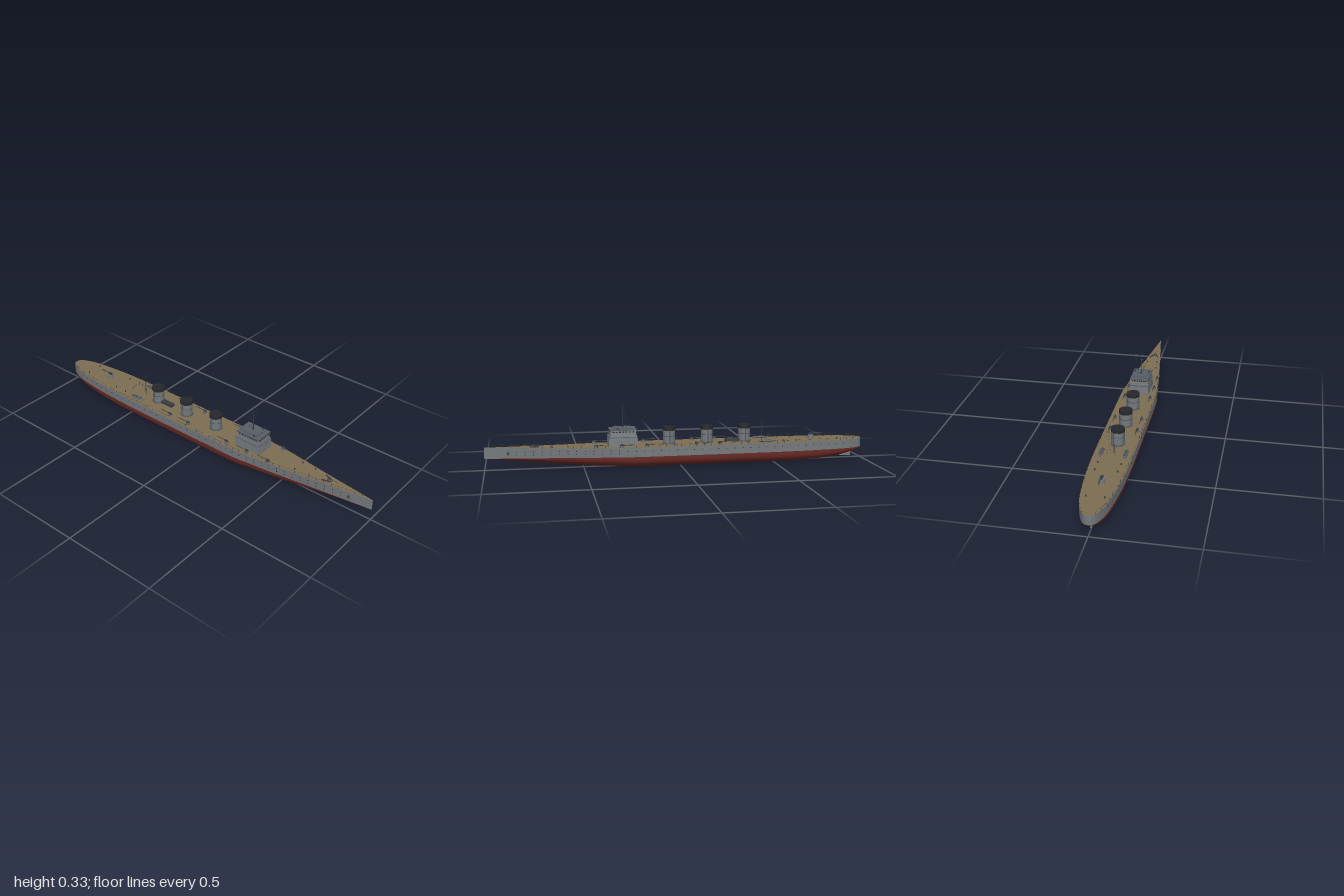
import * as THREE from 'three';
import { mergeGeometries } from 'three/addons/utils/BufferGeometryUtils.js';

const mat = (name, color, side = THREE.FrontSide) => {
  const m = new THREE.MeshStandardMaterial({ color, side });
  m.name = name;
  return m;
};

// linear interpolation through [x, value] pairs
const interp = (pts, x) => {
  for (let i = 1; i < pts.length; i++) {
    const [x0, v0] = pts[i - 1], [x1, v1] = pts[i];
    if (x <= x1) return v0 + (v1 - v0) * (x - x0) / (x1 - x0);
  }
  return pts[pts.length - 1][1];
};

// surface through rows of [x, y, z] points
function loft(rows) {
  const n = rows[0].length, index = [];
  for (let i = 0; i < rows.length - 1; i++)
    for (let j = 0; j < n - 1; j++) {
      const a = i * n + j, b = a + n;
      index.push(a, b, a + 1, b, b + 1, a + 1);
    }
  const g = new THREE.BufferGeometry();
  g.setAttribute('position', new THREE.Float32BufferAttribute(rows.flat(2), 3));
  g.setIndex(index);
  g.computeVertexNormals();
  return g;
}

// box standing on y = 0 whose top is scaled by sx, sz
function taperBox(w, h, d, sx = 1, sz = 1) {
  const g = new THREE.BoxGeometry(w, h, d).translate(0, h / 2, 0).toNonIndexed();
  const p = g.attributes.position;
  for (let i = 0; i < p.count; i++)
    if (p.getY(i) > h / 2) { p.setX(i, p.getX(i) * sx); p.setZ(i, p.getZ(i) * sz); }
  g.computeVertexNormals();
  return g;
}

// thin cylinder between two points
function rod(a, b, r, sides = 6) {
  const p = new THREE.Vector3(...a), q = new THREE.Vector3(...b), dir = q.clone().sub(p);
  const g = new THREE.CylinderGeometry(r, r, dir.length(), sides);
  g.applyQuaternion(new THREE.Quaternion().setFromUnitVectors(new THREE.Vector3(0, 1, 0), dir.normalize()));
  return g.translate(...p.add(q).multiplyScalar(0.5).toArray());
}

export function createModel() {
  const ship = new THREE.Group();
  ship.name = 'warship';
  const grey = mat('hull grey', 0x74797c, THREE.DoubleSide);
  const red = mat('bottom red', 0x6a2a25, THREE.DoubleSide);
  const tan = mat('deck tan', 0x7d6d53);
  const slate = mat('roof slate', 0x575e66);
  const black = mat('funnel black', 0x26282b);
  const dark = mat('fittings dark', 0x3a3e42);
  const add = (name, geo, m, x = 0, y = 0, z = 0, parent = ship) => {
    const mesh = new THREE.Mesh(geo, m);
    mesh.name = name;
    mesh.position.set(x, y, z);
    parent.add(mesh);
    return mesh;
  };

  // hull lines: half-beam, keel height and deck height along the length
  const beam = [[-1, 0], [-0.993, 0.02], [-0.965, 0.04], [-0.9, 0.062], [-0.8, 0.077], [-0.65, 0.09], [-0.45, 0.096],
    [-0.2, 0.097], [0.05, 0.097], [0.24, 0.096], [0.33, 0.087], [0.45, 0.076], [0.62, 0.053], [0.8, 0.028], [1, 0]];
  const keel = [[-1, 0.058], [-0.95, 0.038], [-0.85, 0.016], [-0.74, 0.005], [-0.6, 0], [0.25, 0], [0.5, 0.013],
    [0.8, 0.04], [1, 0.06]];
  const WL = 0.06;
  const deckY = x => 0.108 + 0.01 * Math.max(0, (x - 0.2) / 0.8) ** 2;
  const curve = new THREE.SplineCurve(beam.map(p => new THREE.Vector2(...p)));
  const stations = curve.getPoints(112).map(p => [p.x, Math.max(0, p.y)]);
  const half = x => interp(stations, x);

  const below = [], port = [], starboard = [], deck = [];
  for (const [x, b] of stations) {
    const bow = Math.max(0, (x - 0.2) / 0.8);
    const w = b * (1 - 0.12 * bow), k = Math.min(WL, interp(keel, x)), n = 3 - 1.7 * bow;
    below.push(Array.from({ length: 25 }, (_, j) => {
      const a = (j / 24) * Math.PI, c = Math.cos(a), s = Math.sin(a);
      return [x, WL - (WL - k) * s ** (2 / n), -Math.sign(c) * w * Math.abs(c) ** (2 / n)];
    }));
    port.push([[x, WL, w], [x, deckY(x), b]]);
    starboard.push([[x, deckY(x), -b], [x, WL, -w]]);
    deck.push([[x, deckY(x), b], [x, deckY(x), -b]]);
  }
  add('underwaterHull', loft(below), red);
  add('leftHullSide', loft(port), grey);
  add('rightHullSide', loft(starboard), grey);
  add('deck', loft(deck), tan);
  add('rudder', taperBox(0.06, 0.04, 0.006, 1.1), grey, -0.915, 0.01);

  // railings and portholes along both sides
  const rails = [], ports = [];
  for (const s of [1, -1]) {
    const line = [];
    for (let x = -0.98; x < 0.985; x += 0.0393) {
      const z = s * half(x) * 0.985, y = deckY(x);
      rails.push(rod([x, y, z], [x, y + 0.013, z], 0.0007, 4));
      line.push(new THREE.Vector3(x, y + 0.012, z));
    }
    rails.push(new THREE.TubeGeometry(new THREE.CatmullRomCurve3(line), 100, 0.0004, 3));
    for (let i = 0; i < 42; i++) {
      const x = -0.88 + i * 0.043;
      const slope = (half(x + 0.01) - half(x - 0.01)) / 0.02;
      for (const y of x > 0.3 ? [0.094, 0.078] : [0.09]) {
        const flare = 1 - 0.12 * Math.max(0, (x - 0.2) / 0.8) * (deckY(x) - y) / (deckY(x) - WL);
        ports.push(new THREE.CylinderGeometry(0.0026, 0.0026, 0.002, 8).rotateX(Math.PI / 2)
          .rotateY(-Math.atan(slope) * s).translate(x, y, s * half(x) * flare));
      }
    }
    // anchor on the bow
    add('anchor', taperBox(0.014, 0.012, 0.003, 0.5), dark, 0.88, 0.08, s * half(0.88) * 0.97);
  }
  add('railings', mergeGeometries(rails), dark);
  add('portholes', mergeGeometries(ports), black);

  // funnels with black caps
  [-0.35, -0.148, 0.053].forEach(x => {
    const f = new THREE.Group();
    f.name = 'funnel';
    f.position.set(x, 0.106, 0);
    ship.add(f);
    add('funnelBase', new THREE.CylinderGeometry(0.034, 0.035, 0.01, 28), slate, 0, 0.005, 0, f);
    add('funnelBody', new THREE.CylinderGeometry(0.031, 0.031, 0.07, 28), grey, 0, 0.04, 0, f);
    add('funnelCap', new THREE.CylinderGeometry(0.034, 0.034, 0.018, 28), black, 0, 0.082, 0, f);
    add('funnelBand', new THREE.TorusGeometry(0.031, 0.0012, 6, 28).rotateX(Math.PI / 2), dark, 0, 0.045, 0, f);
    for (const s of [1, -1])
      add('steamPipe', rod([0, 0, s * 0.033], [0, 0.075, s * 0.033], 0.002), slate, 0, 0, 0, f);
  });
  add('deckHousing', taperBox(0.075, 0.016, 0.026), dark, -0.285, 0.107);

  // bridge tower
  const bx = 0.298;
  add('bridgeLower', taperBox(0.152, 0.05, 0.106, 0.96, 0.95), grey, bx, 0.106);
  add('bridgeLedge', taperBox(0.15, 0.003, 0.105), slate, bx, 0.154);
  add('bridgeUpper', taperBox(0.136, 0.037, 0.098, 0.95, 0.92), grey, bx, 0.156);
  add('bridgeRoof', taperBox(0.138, 0.006, 0.1), slate, bx, 0.19);
  add('lookoutPlatform', taperBox(0.09, 0.006, 0.07), slate, bx, 0.196);
  const panes = [];
  for (let i = -3; i <= 3; i++) for (const s of [1, -1]) {
    panes.push(new THREE.BoxGeometry(0.003, 0.006, 0.008).translate(bx + s * 0.0652, 0.183, i * 0.012));
    panes.push(new THREE.BoxGeometry(0.01, 0.006, 0.003).translate(bx + i * 0.017, 0.183, s * 0.0456));
  }
  add('bridgeWindows', mergeGeometries(panes), black);
  for (const s of [1, -1])
    add('searchlight', new THREE.CylinderGeometry(0.005, 0.005, 0.009, 12), dark, bx + 0.03, 0.2, s * 0.038);

  // masts, yards and rigging
  const foreX = 0.295, aftX = -0.445, rig = [];
  add('foreMast', new THREE.CylinderGeometry(0.0015, 0.0032, 0.085, 8), dark, foreX, 0.238);
  add('foreTopmast', rod([foreX, 0.278, 0], [foreX, 0.333, 0], 0.0013), dark);
  add('aftMast', new THREE.CylinderGeometry(0.001, 0.002, 0.13, 8), dark, aftX, 0.171);
  const yards = [[foreX, 0.31, 0.032], [foreX, 0.286, 0.032], [aftX, 0.217, 0.027]];
  for (const [x, y, w] of yards) {
    add('yard', rod([x, y, -w], [x, y, w], 0.0008), dark);
    for (const s of [1, -1])
      rig.push(rod([x, y, s * w], [x - 0.02, x > 0 ? 0.2 : 0.11, s * 0.008], 0.0003, 3));
  }
  for (const s of [1, -1]) {
    rig.push(rod([foreX, 0.29, 0], [foreX - 0.05, 0.198, s * 0.03], 0.0003, 3));
    rig.push(rod([aftX, 0.23, 0], [aftX - 0.09, 0.11, s * 0.03], 0.0003, 3));
  }
  add('rigging', mergeGeometries(rig), dark);

  // deck guns: pedestal, breech and barrel
  const gun = (x, z, dir, size = 1) => {
    const g = new THREE.Group();
    g.name = 'deckGun';
    g.position.set(x, deckY(x), z);
    g.scale.setScalar(size);
    ship.add(g);
    add('gunPedestal', new THREE.CylinderGeometry(0.009, 0.011, 0.009, 16), slate, 0, 0.0045, 0, g);
    add('gunBreech', taperBox(0.016, 0.007, 0.008), dark, 0, 0.009, 0, g);
    add('gunBarrel', rod([-dir * 0.008, 0.0125, 0], [dir * 0.065, 0.0125, 0], 0.0016, 8), dark, 0, 0, 0, g);
  };
  for (const s of [1, -1]) {
    for (const x of [-0.205, -0.08, 0.18, 0.31, 0.44]) gun(x, s * (x > 0.4 ? 0.067 : 0.07), -1);
    // ship's boats with seats
    const boat = add('boat', new THREE.SphereGeometry(1, 20, 10), slate, -0.455, 0.114, s * 0.06);
    boat.scale.set(0.046, 0.006, 0.011);
    const thwarts = [-0.02, 0, 0.02].map(x => new THREE.BoxGeometry(0.004, 0.002, 0.016).translate(x, 0.0055, 0));
    add('boatSeats', mergeGeometries(thwarts), dark, -0.455, 0.114, s * 0.06);
    // foredeck breakwater and bollards
    add('breakwater', taperBox(0.05, 0.007, 0.002), dark, 0.75, deckY(0.75), s * 0.014).rotation.y = s * 0.35;
    for (const x of [-0.85, -0.62, -0.55, 0.58, 0.66])
      add('bollard', new THREE.CylinderGeometry(0.003, 0.003, 0.01, 8), dark, x, deckY(x) + 0.004, s * half(x) * 0.6);
  }
  gun(0.755, 0, 1, 0.8);

  // raised after gun
  add('afterGunPlatform', new THREE.CylinderGeometry(0.015, 0.016, 0.023, 20), grey, -0.72, 0.118);
  add('afterGunBreech', taperBox(0.022, 0.01, 0.012), dark, -0.72, 0.129);
  add('afterGunBarrel', rod([-0.785, 0.136, 0], [-0.71, 0.136, 0], 0.0022, 8), dark);
  return ship;
}
